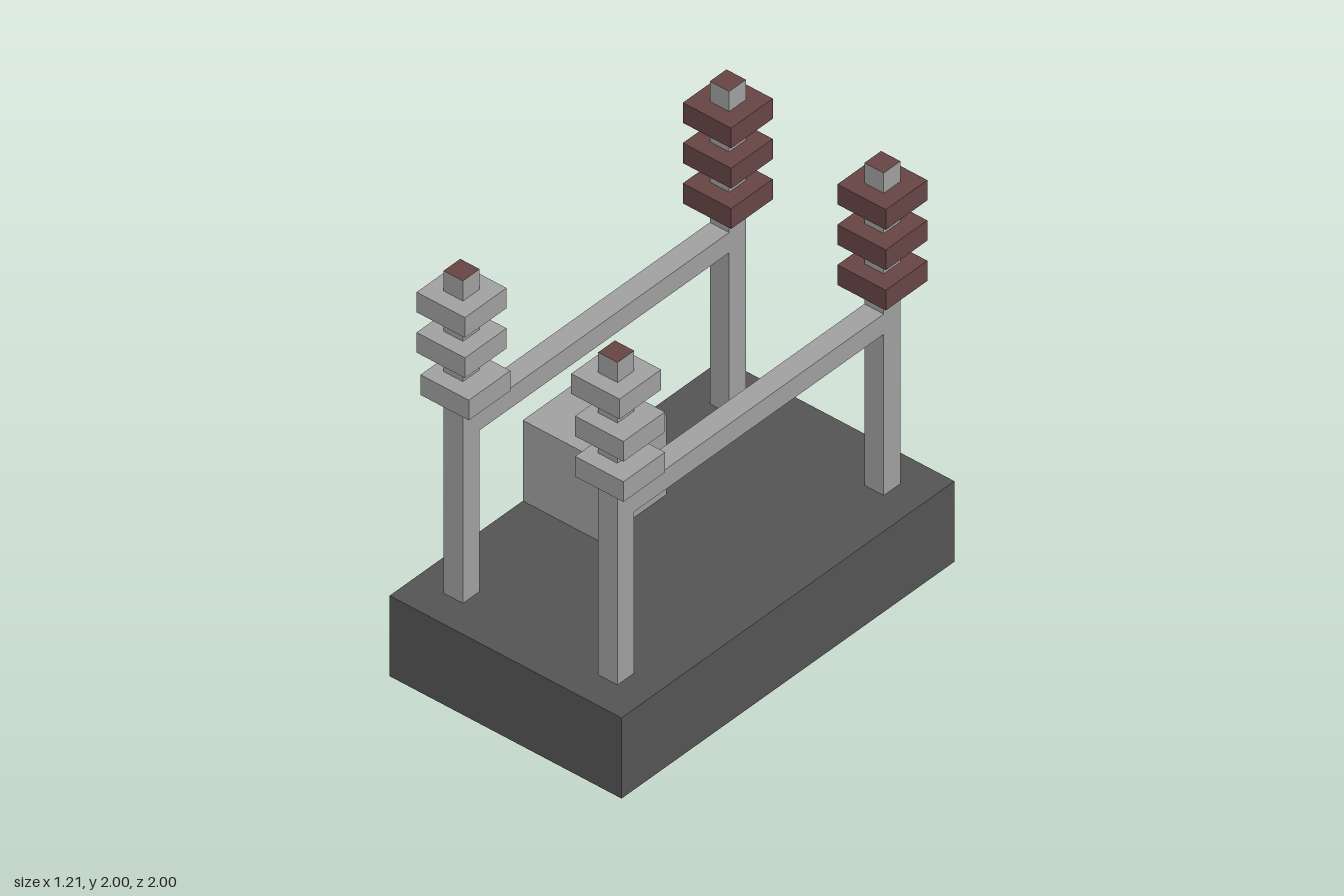
import * as THREE from 'three';

const paint = (name, color) => {
  const m = new THREE.MeshStandardMaterial({ color });
  m.name = name;
  return m;
};

export function createModel() {
  const model = new THREE.Group();
  model.name = 'transformer';
  const darkGrey = paint('darkGrey', 0x555555);
  const grey = paint('lightGrey', 0xa2a2a2);
  const maroon = paint('maroon', 0x684545);
  const yellow = paint('yellow', 0xa89c20);

  const box = (name, w, h, d, x, y, z, material) => {
    const mesh = new THREE.Mesh(new THREE.BoxGeometry(w, h, d), material);
    mesh.name = name;
    mesh.position.set(x, y, z);
    model.add(mesh);
  };

  // Base slab and control cabinet, flush with the slab's side
  box('base', 1.2, 0.4, 2, 0, 0.2, 0, darkGrey);
  box('cabinet', 0.4, 0.4, 0.4, -0.4, 0.6, 0, grey);

  // Post with a maroon top face
  const postFaces = [grey, grey, maroon, grey, grey, grey];

  // Sideways shifts of the front insulators, bottom to top
  const frontShift = { '-0.4': [0.02, 0, 0], '0.4': [0.02, 0.02, 0] };

  for (const x of [-0.4, 0.4]) {
    box('beam', 0.1, 0.1, 1.5, x, 1.25, 0, grey);
    for (const z of [-0.8, 0.8]) {
      box('post', 0.1, 1.6, 0.1, x, 1.2, z, postFaces);
      for (let i = 0; i < 3; i++) {
        const shift = z > 0 ? frontShift[x][i] : 0;
        box('insulator', 0.25, 0.1, 0.25, x + shift, 1.45 + i * 0.2, z, z > 0 ? grey : maroon);
      }
    }
  }

  // Painted warning patch on the cabinet's outer face
  const decal = (name, points, x, material) => {
    const shape = new THREE.Shape(points.map(([u, v]) => new THREE.Vector2(u * 0.4 - 0.2, v * 0.4 + 0.4)));
    const mesh = new THREE.Mesh(new THREE.ShapeGeometry(shape), material);
    mesh.name = name;
    mesh.rotation.y = -Math.PI / 2;
    mesh.position.x = x;
    model.add(mesh);
  };
  decal('warningPatch', [
    [0.48, 0.85], [0.35, 0.65], [0.16, 0.6], [0.29, 0.4], [0.1, 0.14],
    [0.35, 0.22], [0.58, 0.25], [0.94, 0.33], [0.68, 0.52], [0.55, 0.66],
  ], -0.603, yellow);
  decal('patchSpot', [[0.38, 0.49], [0.45, 0.43], [0.52, 0.49], [0.45, 0.55]], -0.606, darkGrey);

  return model;
}
